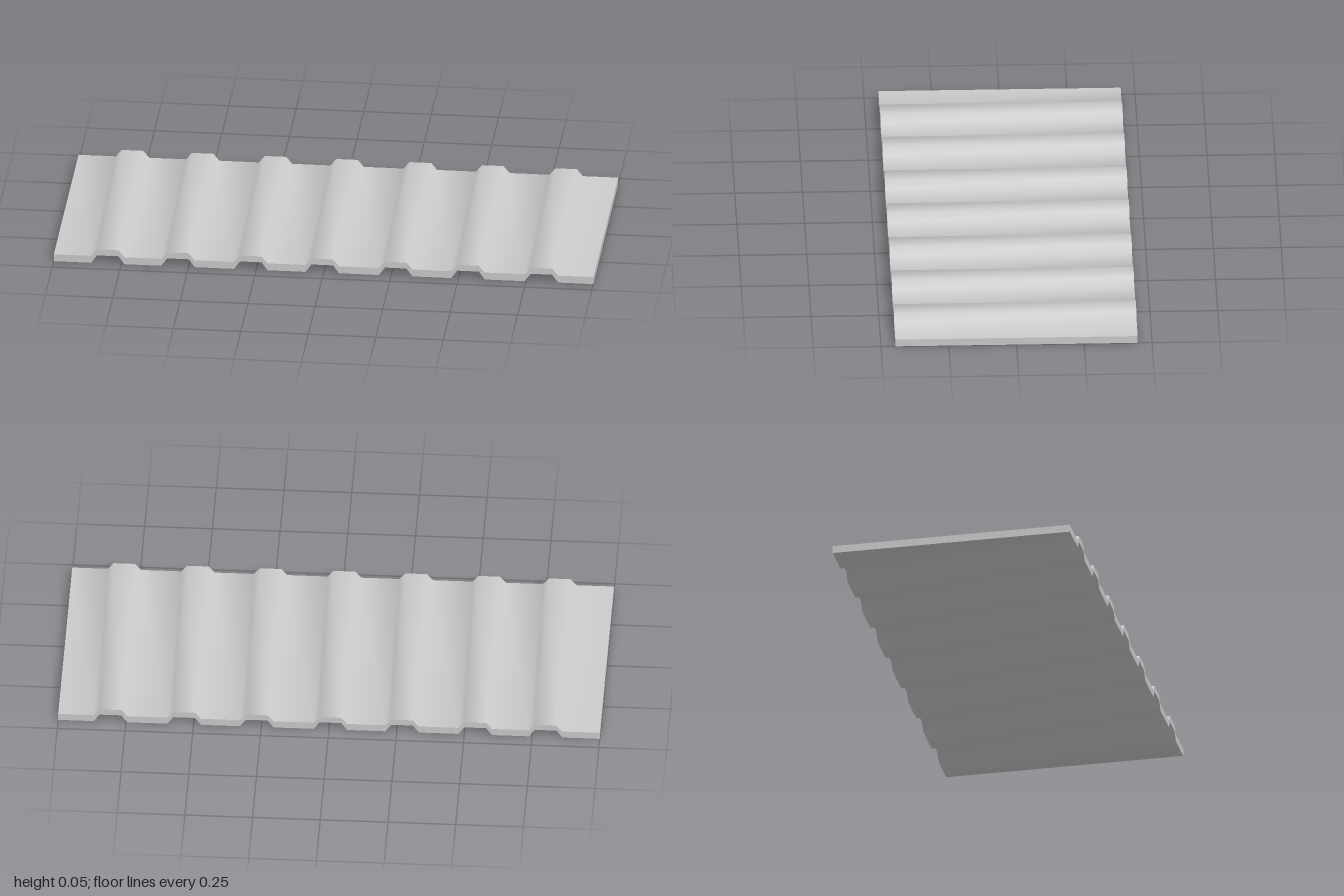
import * as THREE from 'three';
import { toCreasedNormals } from 'three/addons/utils/BufferGeometryUtils.js';

const DEPTH = 0.894;
const RIBS = [-0.8, -0.54, -0.27, -0.005, 0.267, 0.535, 0.807];
const FOOT = 0.062, CREST = 0.04; // half widths of a rib

// One long edge of the section, left to right
function edge(base, crest) {
  const points = [new THREE.Vector2(-1, base)];
  for (const x of RIBS) {
    points.push(
      new THREE.Vector2(x - FOOT, base),
      new THREE.Vector2(x - CREST, crest),
      new THREE.Vector2(x + CREST, crest),
      new THREE.Vector2(x + FOOT, base)
    );
  }
  points.push(new THREE.Vector2(1, base));
  return points;
}

export function createModel() {
  const group = new THREE.Group();
  group.name = 'corrugatedPanel';

  // Ribbed section extruded from back to front
  const section = new THREE.Shape([...edge(0, 0.031), ...edge(0.028, 0.055).reverse()]);
  const extruded = new THREE.ExtrudeGeometry(section, { depth: DEPTH, bevelEnabled: false });
  extruded.translate(0, 0, -DEPTH / 2);
  extruded.deleteAttribute('uv');

  // Soft rib shoulders, sharp outer ends
  const sheet = new THREE.Mesh(
    toCreasedNormals(extruded, 1.05),
    new THREE.MeshStandardMaterial({ color: 0xcccccc })
  );
  sheet.name = 'ribbedSheet';
  group.add(sheet);
  return group;
}
